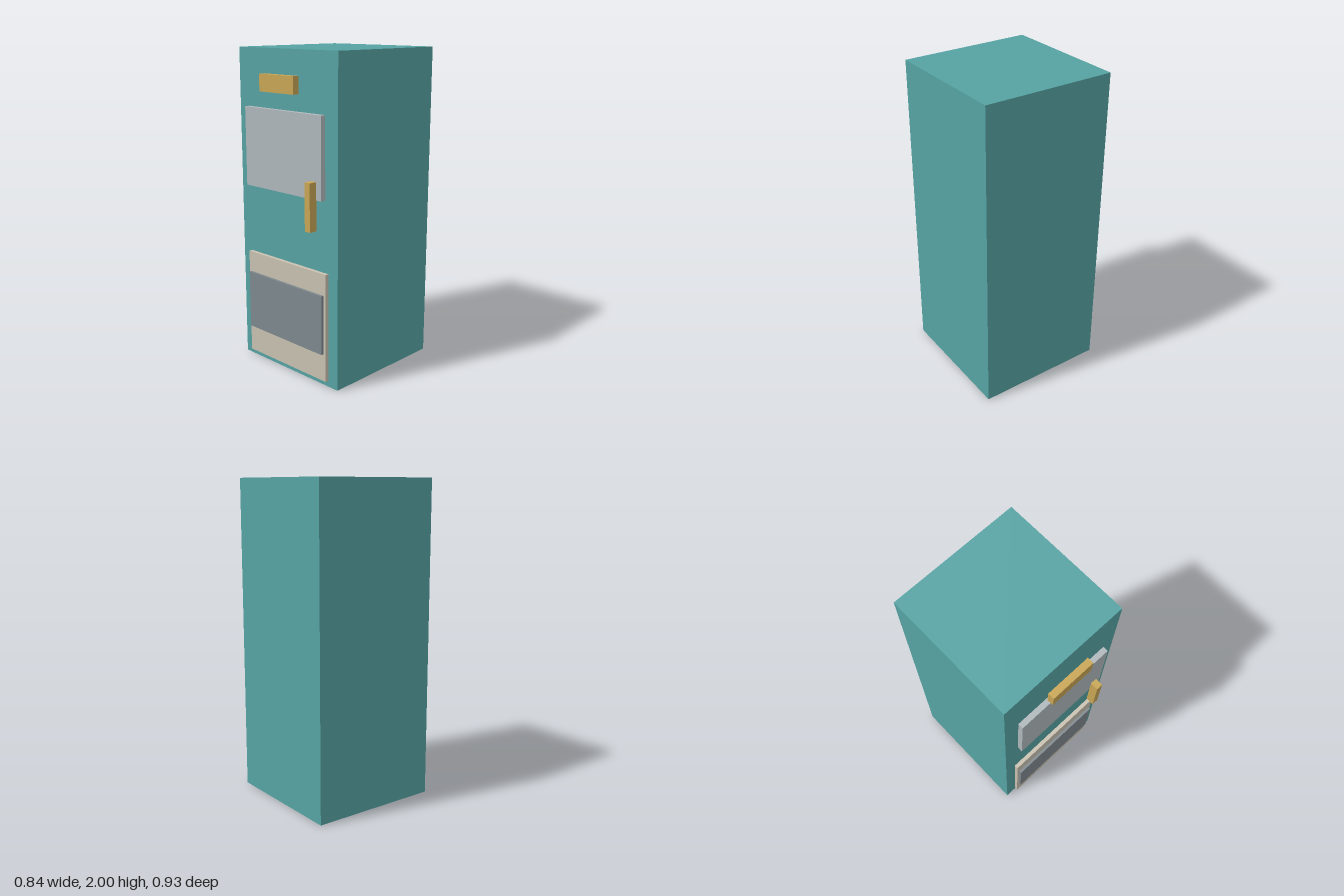
import * as THREE from 'three';

const material = (name, color) => {
  const m = new THREE.MeshStandardMaterial({ color });
  m.name = name;
  return m;
};

export function createModel() {
  const teal = material('teal enamel', 0x56a3a3);
  const glass = material('pale grey', 0xb0b8bc);
  const beige = material('beige', 0xc9c1b1);
  const slate = material('slate grey', 0x7e888d);
  const brass = material('brass', 0xc8a654);
  const brown = material('dark brown', 0x7a5455);

  const model = new THREE.Group();
  model.name = 'cabinet';

  // Box given by its extents along each axis
  const box = (name, mat, [x0, x1], [y0, y1], [z0, z1]) => {
    const mesh = new THREE.Mesh(new THREE.BoxGeometry(x1 - x0, y1 - y0, z1 - z0), mat);
    mesh.position.set((x0 + x1) / 2, (y0 + y1) / 2, (z0 + z1) / 2);
    mesh.name = name;
    model.add(mesh);
  };

  // Cabinet body
  box('body', teal, [-0.418, 0.418], [0.002, 2], [-0.465, 0.37]);

  // Upper panel and brass fittings, standing slightly off the front
  box('upperPanel', glass, [-0.326, 0.326], [1.16, 1.648], [0.378, 0.412]);
  box('nameplate', brass, [-0.145, 0.145], [1.752, 1.855], [0.409, 0.45]);
  box('doorHandle', brass, [0.245, 0.287], [0.978, 1.267], [0.411, 0.464]);

  // Lower panel with its inset
  box('lowerPanel', beige, [-0.343, 0.343], [0.042, 0.72], [0.37, 0.395]);
  box('lowerInset', slate, [-0.326, 0.326], [0.217, 0.588], [0.378, 0.412]);

  // Pads flush with the underside, front and back
  for (const [name, z] of [['frontPad', 0.25], ['backPad', -0.345]]) {
    box(name, brown, [-0.07, 0.07], [0, 0.008], [z - 0.05, z + 0.05]);
  }

  return model;
}
